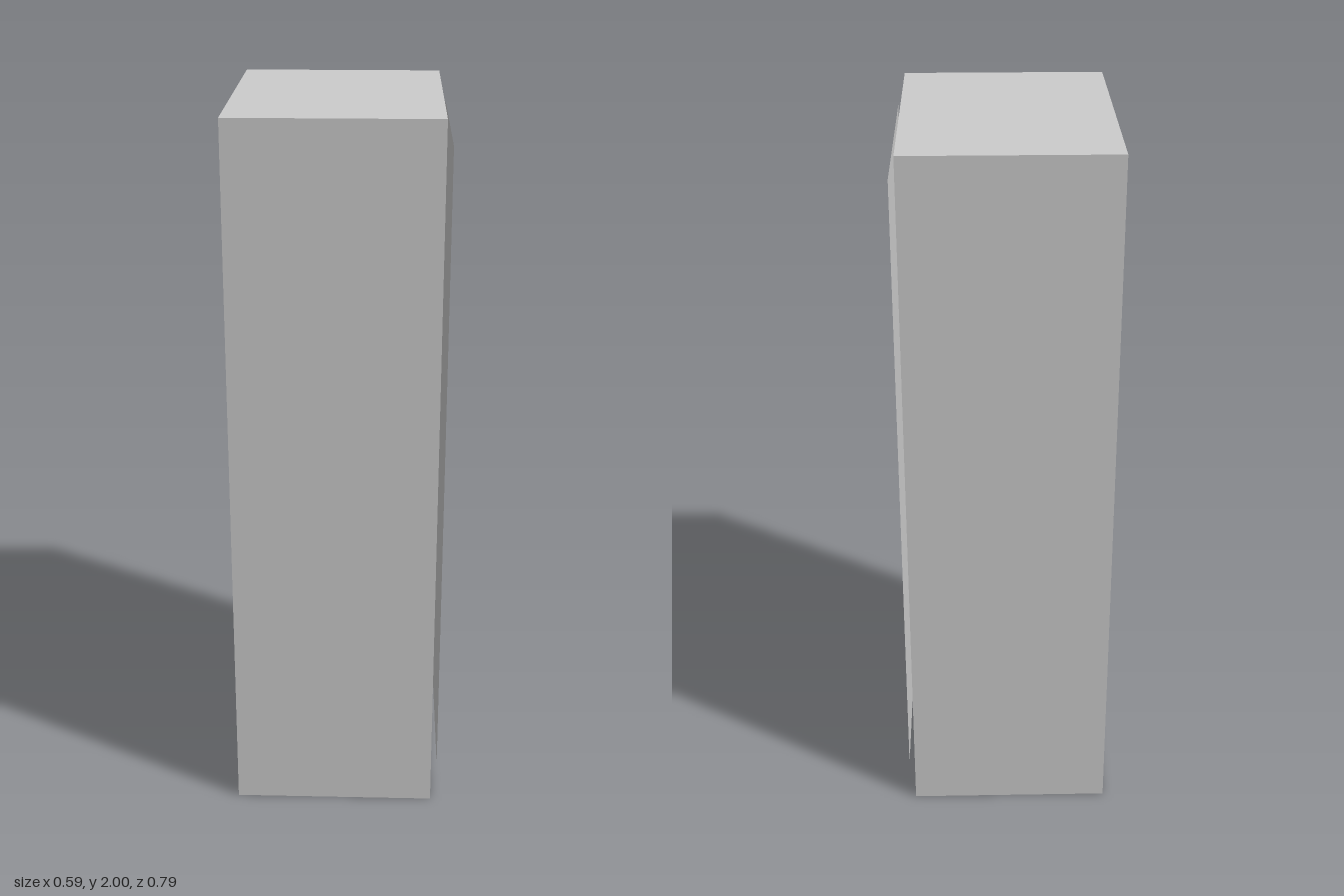
import * as THREE from 'three';

const material = new THREE.MeshStandardMaterial({ color: 0xcccccc, side: THREE.DoubleSide });

// Outer shell, recessed interior and door sizes
const BACK = -0.293, FACE = 0.274, DOOR = 0.293;
const HALF_Z = 0.393, HEIGHT = 2;
const INNER = { back: -0.204, halfZ: 0.348, bottom: 0.05, top: 1.96 };
const SHELVES = 4, SHELF_THICKNESS = 0.07;

function add(parent, name, geometry, x = 0, y = 0, z = 0) {
  const mesh = new THREE.Mesh(geometry, material);
  mesh.name = name;
  mesh.position.set(x, y, z);
  parent.add(mesh);
  return mesh;
}

// Thin sheets facing along each axis
const sheetX = (depth, height) => new THREE.PlaneGeometry(depth, height).rotateY(Math.PI / 2);
const sheetY = (width, depth) => new THREE.PlaneGeometry(width, depth).rotateX(-Math.PI / 2);
const sheetZ = (width, height) => new THREE.PlaneGeometry(width, height);

// Back, top and two sides of a box of sheets that is open towards +x
function sheetBox(parent, prefix, back, halfZ, bottom, top) {
  const width = FACE - back, height = top - bottom;
  const cx = (FACE + back) / 2, cy = (top + bottom) / 2;
  add(parent, prefix + 'Back', sheetX(halfZ * 2, height), back, cy, 0);
  add(parent, prefix + 'Top', sheetY(width, halfZ * 2), cx, top, 0);
  for (const s of [-1, 1]) {
    const side = sheetZ(width, height);
    if (s < 0) side.rotateY(Math.PI);
    add(parent, prefix + (s > 0 ? 'FrontSide' : 'RearSide'), side, cx, cy, s * halfZ);
  }
}

export function createModel() {
  const cabinet = new THREE.Group();
  cabinet.name = 'cabinet';

  // Outer shell, open underneath
  sheetBox(cabinet, 'shell', BACK, HALF_Z, 0, HEIGHT);

  // Face frame around the opening
  const rect = (path, h, y0, y1) =>
    path.moveTo(-h, y0).lineTo(h, y0).lineTo(h, y1).lineTo(-h, y1).closePath();
  const frame = rect(new THREE.Shape(), HALF_Z, 0, HEIGHT);
  frame.holes.push(rect(new THREE.Path(), INNER.halfZ, INNER.bottom, INNER.top));
  add(cabinet, 'faceFrame', new THREE.ShapeGeometry(frame).rotateY(Math.PI / 2), FACE);

  // Recessed interior with its floor
  const depth = FACE - INNER.back, midX = (FACE + INNER.back) / 2;
  sheetBox(cabinet, 'interior', INNER.back, INNER.halfZ, INNER.bottom, INNER.top);
  add(cabinet, 'interiorFloor', sheetY(depth, INNER.halfZ * 2), midX, INNER.bottom, 0);

  // Evenly spaced shelves
  for (let i = 0; i < SHELVES; i++) {
    const shelf = new THREE.BoxGeometry(depth, SHELF_THICKNESS, INNER.halfZ * 2);
    add(cabinet, 'shelf' + (i + 1), shelf, midX, 0.435 + i * 0.38, 0);
  }

  // Thin door just in front of the frame
  add(cabinet, 'door', sheetX(0.676, 1.836), DOOR, 1.004, 0);

  return cabinet;
}
